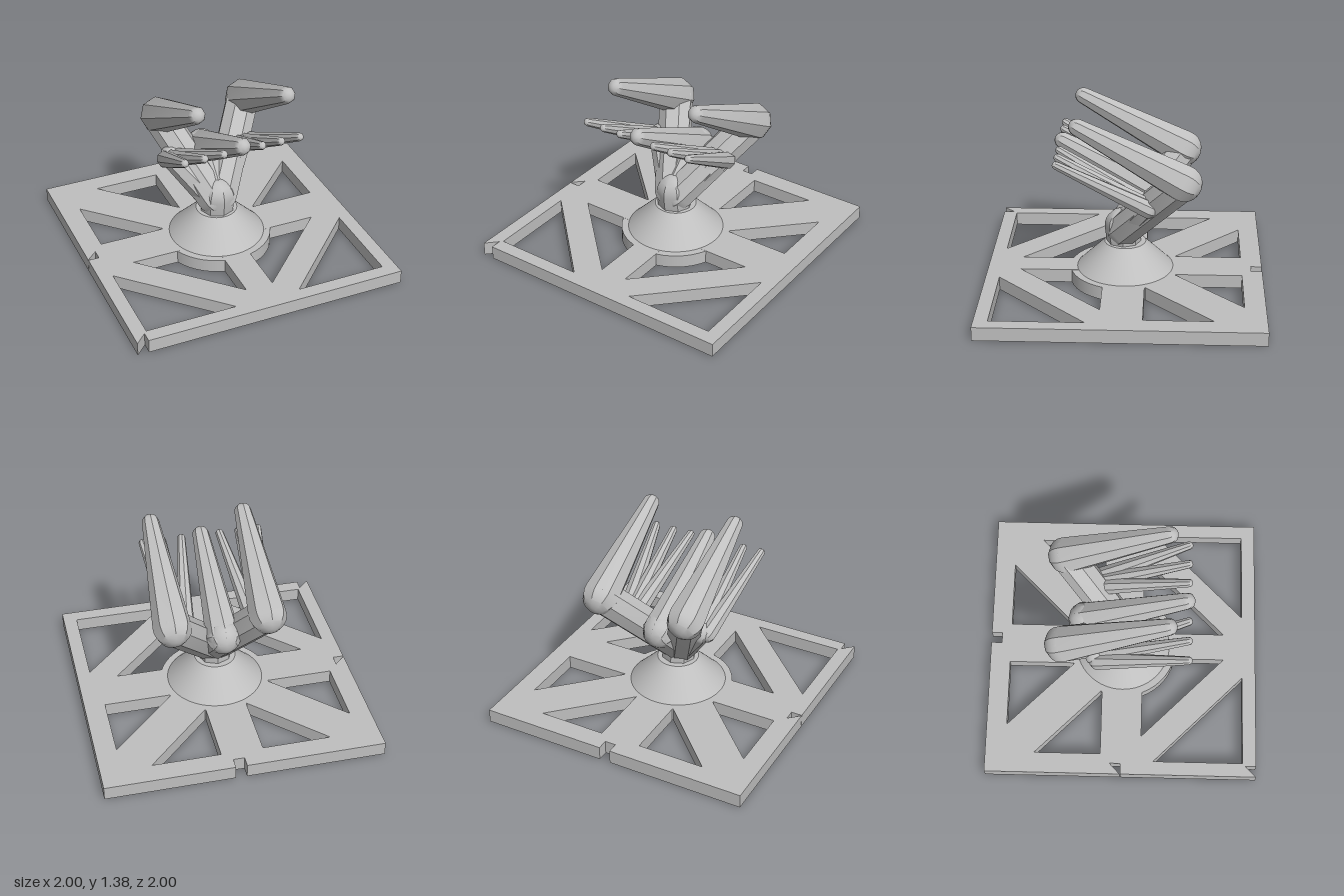
import * as THREE from 'three';
import { toCreasedNormals } from 'three/addons/utils/BufferGeometryUtils.js';

const V = (x, y, z) => new THREE.Vector3(x, y, z);

export function createModel() {
  const model = new THREE.Group();
  model.name = 'clawHandOnPlate';
  const grey = new THREE.MeshStandardMaterial({ color: 0xbfbfbf });
  grey.name = 'light grey';

  const add = (name, geometry, parent = model) => {
    const mesh = new THREE.Mesh(geometry, grey);
    mesh.name = name;
    parent.add(mesh);
    return mesh;
  };

  // Tapered, faceted limb with a round ball at each end
  function limb(name, a, b, ra, rb, parent, sides = 8) {
    const dir = b.clone().sub(a);
    const length = dir.length();
    const tilt = Math.asin((ra - rb) / length);
    const points = [];
    for (let i = 0; i <= 6; i++) {
      const t = -Math.PI / 2 + (Math.PI / 2 + tilt) * i / 6;
      points.push(new THREE.Vector2(i ? ra * Math.cos(t) : 0, ra * Math.sin(t)));
    }
    for (let i = 0; i <= 6; i++) {
      const t = tilt + (Math.PI / 2 - tilt) * i / 6;
      points.push(new THREE.Vector2(i < 6 ? rb * Math.cos(t) : 0, length + rb * Math.sin(t)));
    }
    const geometry = toCreasedNormals(new THREE.LatheGeometry(points, sides), 0.6);
    const mesh = add(name, geometry, parent);
    mesh.position.copy(a);
    mesh.quaternion.setFromUnitVectors(V(0, 1, 0), dir.normalize());
    return mesh;
  }

  // Square plate with edge notches and triangular cut-outs, drawn as [x, z]
  const path = (pts) => pts.map(([x, z]) => new THREE.Vector2(x, -z));
  const outline = new THREE.Shape(path([
    [-1, 1], [-0.92, 0.92], [-0.92, 1], [1, 1], [1, -1],
    [0.08, -1], [0.08, -0.92], [0, -0.92], [0, -1], [-1, -1],
    [-1, -0.004], [-0.92, -0.08], [-0.92, 0], [-1, 0],
  ]));
  const cutouts = [
    [[0.15, -0.85], [0.64, -0.85], [0.15, -0.36]],
    [[0.85, -0.64], [0.85, -0.15], [0.36, -0.15]],
    [[0.71, 0.15], [0.1, 0.15], [0.1, 0.76]],
    [[0.9, 0.24], [0.9, 0.9], [0.24, 0.9]],
  ];
  for (const s of [-1, 1]) {
    for (const tri of cutouts) {
      outline.holes.push(new THREE.Path(path(tri.map(([x, z]) => [s * x, z]))));
    }
  }
  const plate = new THREE.ExtrudeGeometry(outline, { depth: 0.1, bevelEnabled: false });
  plate.rotateX(-Math.PI / 2);
  add('basePlate', plate);

  // Round hub filling the middle of the plate, and the cone on it
  const hub = add('hubDisc', new THREE.CylinderGeometry(0.4, 0.4, 0.098, 48));
  hub.position.y = 0.05;
  const cone = add('coneFoot', new THREE.CylinderGeometry(0.15, 0.35, 0.2, 64));
  cone.position.y = 0.2;

  // Wrist
  limb('wrist', V(0, 0.3, 0.01), V(0, 0.42, 0.02), 0.125, 0.13, model);

  // Three large fingers, each an arm bent forward at a knuckle
  const large = [
    ['rightLargeFinger', -0.03, V(-0.28, 0.92, -0.41), V(-0.28, 1.31, 0.31), 0.135],
    ['leftLargeFinger', 0.03, V(0.39, 0.92, -0.41), V(0.39, 1.315, 0.31), 0.135],
    ['middleLargeFinger', 0, V(0, 0.67, -0.27), V(0, 1.07, 0.44), 0.125],
  ];
  for (const [name, x, knuckle, tip, r] of large) {
    const finger = new THREE.Group();
    finger.name = name;
    model.add(finger);
    limb('arm', V(x, 0.4, 0.01), knuckle, 0.125, 0.125, finger);
    limb('fingerTip', knuckle, tip, r, 0.062, finger);
  }

  // Two small side claws with three thin fingers each
  for (const s of [-1, 1]) {
    const claw = new THREE.Group();
    claw.name = s < 0 ? 'rightSmallClaw' : 'leftSmallClaw';
    model.add(claw);
    limb('arm', V(s * 0.03, 0.39, 0), V(s * 0.27, 0.69, -0.19), 0.11, 0.085, claw);
    for (const k of [-1, 0, 1]) {
      limb('thinFinger', V(s * (0.285 + k * 0.04), 0.69, -0.17),
        V(s * (0.285 + k * 0.142), 1.05, 0.455), 0.065, 0.03, claw);
    }
  }
  return model;
}
